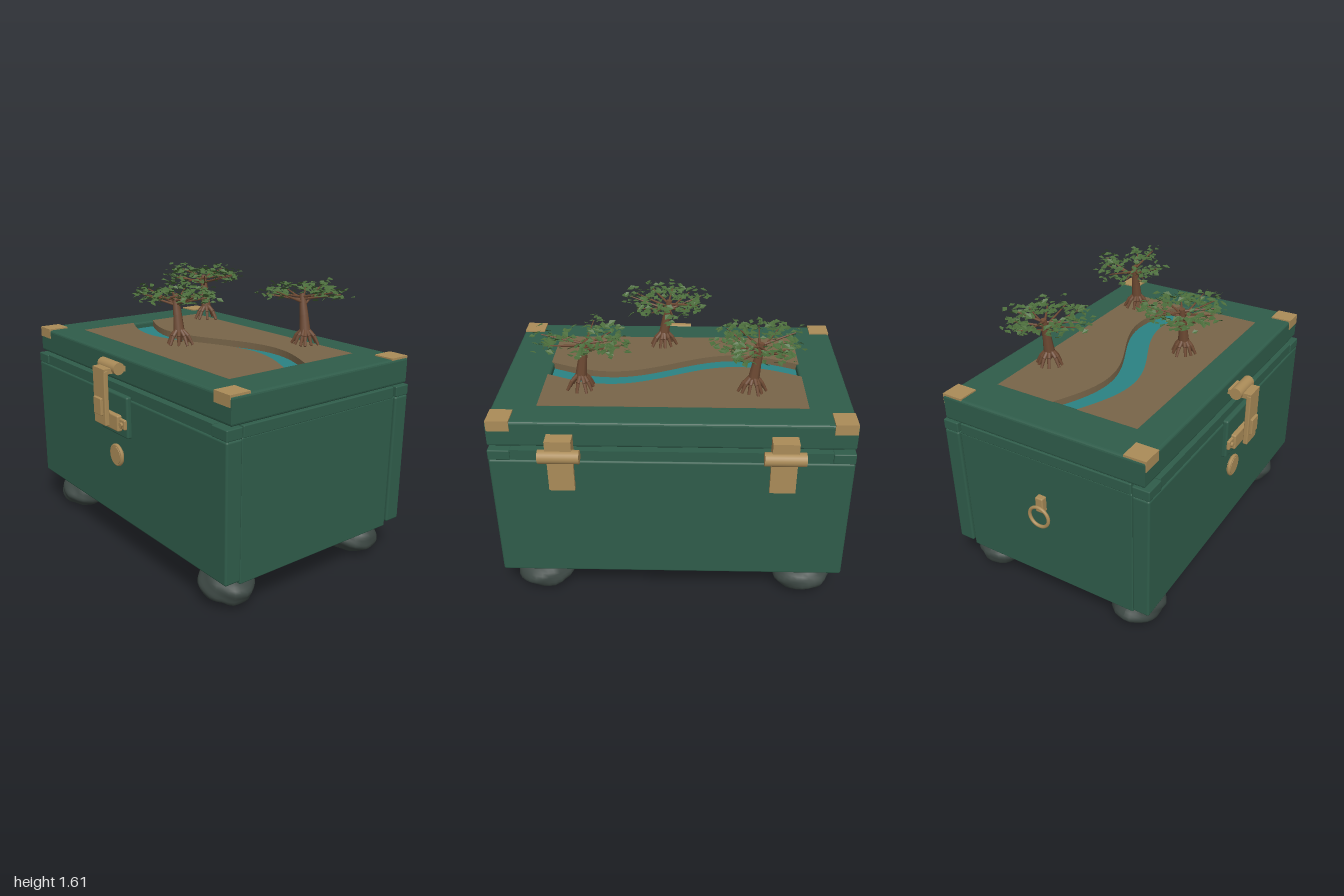
import * as THREE from 'three';
import { mergeGeometries } from 'three/addons/utils/BufferGeometryUtils.js';
import { RoundedBoxGeometry } from 'three/addons/geometries/RoundedBoxGeometry.js';

const mat = (name, color, side = THREE.FrontSide) => {
  const m = new THREE.MeshStandardMaterial({ color, side });
  m.name = name;
  return m;
};
const GREEN = mat('green paint', 0x2f5c4a);
const GOLD = mat('brass', 0xaa8b58);
const EARTH = mat('earth', 0x786549);
const WATER = mat('water', 0x2b8283, THREE.DoubleSide);
const BARK = mat('bark', 0x6e4a33);
const LEAF = mat('leaf', 0x4a6b3a, THREE.DoubleSide);
const STONE = mat('stone', 0x3c4743);

// small seeded generator, 0..1
let seed = 7;
const rnd = () => (seed = (seed * 16807) % 2147483647) / 2147483647;
const spread = (s) => (rnd() * 2 - 1) * s;

export function createModel() {
  const model = new THREE.Group();
  const add = (name, geo, material, parent = model) => {
    const mesh = new THREE.Mesh(geo, material);
    mesh.name = name;
    parent.add(mesh);
    return mesh;
  };
  // box given by its extents; r rounds the edges
  const box = (name, material, x0, x1, y0, y1, z0, z1, r = 0) => {
    const s = [x1 - x0, y1 - y0, z1 - z0];
    const g = r ? new RoundedBoxGeometry(...s, 2, r) : new THREE.BoxGeometry(...s);
    return add(name, g.translate((x0 + x1) / 2, (y0 + y1) / 2, (z0 + z1) / 2), material);
  };
  const barrel = (name, x0, x1, y, z, r) =>
    add(name, new THREE.CylinderGeometry(r, r, x1 - x0, 24).rotateZ(Math.PI / 2).translate((x0 + x1) / 2, y, z), GOLD);

  // chest body
  box('base', GREEN, -0.88, 0.915, 0.19, 0.25, -0.575, 0.53);
  box('frontWall', GREEN, -0.96, 1, 0.225, 0.99, 0.53, 0.63, 0.012);
  box('backWall', GREEN, -0.96, 1, 0.225, 0.99, -0.68, -0.58, 0.012);
  for (const [x0, x1] of [[-0.95, -0.85], [0.89, 0.99]]) {
    box('sideWall', GREEN, x0, x1, 0.2, 0.99, -0.575, 0.528, 0.008);
    box('sideRim', GREEN, x0, x1, 0.985, 1.05, -0.568, 0.518, 0.006);
  }
  for (const [z0, z1, inset] of [[0.53, 0.63, 1], [-0.68, -0.58, -1]]) {
    const a = inset > 0 ? z0 : z0 + 0.008, b = inset > 0 ? z1 - 0.008 : z1;
    box('rim', GREEN, -0.84, 0.88, 0.985, 1.05, a, b);
    box('rimCorner', GREEN, -0.96, -0.84, 0.99, 1.05, z0, z1, 0.006);
    box('rimCorner', GREEN, 0.88, 1, 0.99, 1.05, z0, z1, 0.006);
  }

  // lid frame with an opening for the landscape panel
  const bev = 0.015;
  const rect = (path, x0, x1, z0, z1) =>
    path.moveTo(x0, -z1).lineTo(x1, -z1).lineTo(x1, -z0).lineTo(x0, -z0).closePath();
  const frame = new THREE.Shape();
  rect(frame, -0.96 + bev, 1 - bev, -0.652 + bev, 0.605 - bev);
  const hole = new THREE.Path();
  rect(hole, -0.72, 0.755, -0.475, 0.42);
  frame.holes.push(hole);
  add('lid', new THREE.ExtrudeGeometry(frame, {
    depth: 0.15 - 2 * bev, bevelSize: bev, bevelThickness: bev, bevelSegments: 3,
  }).rotateX(-Math.PI / 2).translate(0, 1.06 + bev, 0), GREEN);
  box('lidFloor', GREEN, -0.74, 0.775, 1.065, 1.15, -0.49, 0.44);

  // two earth banks with a sunken river winding between them
  const riverZ = (x) => -0.027 - 0.114 * Math.sin((2 * Math.PI * (x - 0.017)) / 1.475);
  const curve = (off) => Array.from({ length: 41 }, (_, i) => {
    const x = -0.72 + (1.475 * i) / 40;
    return new THREE.Vector2(x, -(riverZ(x) + off));
  });
  const corners = (z) => [new THREE.Vector2(0.755, -z), new THREE.Vector2(-0.72, -z)];
  for (const [off, z] of [[-0.077, -0.475], [0.077, 0.42]]) {
    const bank = new THREE.Shape([...curve(off), ...corners(z)]);
    add('earthBank', new THREE.ExtrudeGeometry(bank, { depth: 0.062, bevelEnabled: false })
      .rotateX(-Math.PI / 2).translate(0, 1.149, 0), EARTH);
  }
  const river = new THREE.Shape([...curve(-0.079), ...curve(0.079).reverse()]);
  add('river', new THREE.ShapeGeometry(river).rotateX(-Math.PI / 2).translate(0, 1.172, 0), WATER);

  // brass corner guards: top plate and hanging flap
  for (const [x0, x1] of [[-0.957, -0.835], [0.872, 0.995]]) {
    box('cornerTop', GOLD, x0, x1, 1.205, 1.218, 0.482, 0.61);
    box('cornerFlap', GOLD, x0, x1, 1.157, 1.218, 0.6, 0.61);
    box('cornerTop', GOLD, x0, x1, 1.205, 1.218, -0.657, -0.53);
    box('cornerFlap', GOLD, x0, x1, 1.157, 1.218, -0.657, -0.647);
  }

  // back hinges
  for (const x of [-0.58, 0.61]) {
    barrel('hingeBarrel', x - 0.11, x + 0.11, 1.045, -0.722, 0.038);
    box('hingeTop', GOLD, x - 0.07, x + 0.07, 1.02, 1.14, -0.73, -0.645);
    box('hingePlate', GOLD, x - 0.07, x + 0.07, 0.815, 1.04, -0.705, -0.675);
  }

  // front latch
  const cx = 0.013;
  box('latchBackplate', GREEN, cx - 0.145, cx + 0.145, 0.765, 1.01, 0.62, 0.657, 0.012);
  barrel('latchPivot', cx - 0.088, cx + 0.088, 1.163, 0.663, 0.035);
  box('latchArm', GOLD, cx - 0.06, cx + 0.06, 1.135, 1.165, 0.6, 0.745);
  box('latchHasp', GOLD, cx - 0.062, cx + 0.062, 0.84, 1.155, 0.717, 0.745, 0.006);
  box('latchTab', GOLD, cx - 0.04, cx + 0.04, 0.9, 0.998, 0.74, 0.76, 0.005);
  box('latchCatch', GOLD, cx - 0.088, cx + 0.088, 0.8, 0.895, 0.65, 0.685, 0.01);
  box('latchEars', GOLD, cx - 0.14, cx + 0.14, 0.82, 0.88, 0.65, 0.672, 0.008);
  for (const s of [-1, 1]) {
    add('latchScrew', new THREE.CylinderGeometry(0.014, 0.014, 0.015, 12)
      .rotateX(Math.PI / 2).translate(cx + s * 0.112, 0.85, 0.677), GOLD);
  }

  // round brass button with a raised ring
  add('button', new THREE.CylinderGeometry(0.052, 0.058, 0.03, 32)
    .rotateX(Math.PI / 2).translate(cx, 0.63, 0.64), GOLD);
  add('buttonRing', new THREE.TorusGeometry(0.057, 0.011, 8, 36).translate(cx, 0.63, 0.643), GOLD);

  // pull ring on the side
  box('ringMount', GOLD, -0.985, -0.94, 0.675, 0.77, -0.06, -0.01, 0.008);
  add('pullRing', new THREE.TorusGeometry(0.062, 0.01, 10, 32)
    .rotateY(Math.PI / 2).translate(-0.99, 0.65, -0.035), GOLD);

  // lumpy stone feet
  for (const [x, z, k] of [[-0.755, 0.455, 0], [0.79, 0.455, 2], [-0.755, -0.505, 4], [0.79, -0.505, 6]]) {
    const g = new THREE.SphereGeometry(1, 28, 18);
    const p = g.attributes.position, v = new THREE.Vector3();
    for (let i = 0; i < p.count; i++) {
      v.fromBufferAttribute(p, i);
      const n = 1 + 0.04 * Math.sin(4 * v.x + k) * Math.cos(5 * v.z + k)
        + 0.03 * Math.sin(7 * v.y + 5 * v.x + k) + 0.02 * Math.sin(9 * v.z - 6 * v.x + k);
      p.setXYZ(i, v.x * n * 0.172, v.y * n * 0.095, v.z * n * 0.147);
    }
    g.computeVertexNormals();
    add('stoneFoot', g.translate(x, 0.1, z), STONE);
  }

  // mangrove trees: stilt roots, leaning trunk, fanned branches, loose leaves
  const V = (x, y, z) => new THREE.Vector3(x, y, z);
  const limb = (a, b, r0, r1) => {
    const d = b.clone().sub(a);
    const g = new THREE.CylinderGeometry(r1, r0, d.length(), 7);
    g.applyQuaternion(new THREE.Quaternion().setFromUnitVectors(V(0, 1, 0), d.clone().normalize()));
    return g.translate(...a.clone().add(b).multiplyScalar(0.5).toArray());
  };
  const leafAt = (c) => {
    const l = 0.018 + rnd() * 0.009, w = l * 0.72;
    const g = new THREE.BufferGeometry();
    g.setAttribute('position', new THREE.Float32BufferAttribute(
      [-l, 0, 0, 0, 0.004, w, l, 0, 0, 0, 0.004, -w], 3));
    g.setIndex([0, 1, 2, 0, 2, 3]);
    g.rotateX(spread(0.55)).rotateZ(spread(0.45)).rotateY(rnd() * 6.28);
    const flat = g.toNonIndexed();
    flat.computeVertexNormals();
    return flat.translate(c.x, c.y, c.z);
  };
  const tree = (x, z, gap) => {
    const group = new THREE.Group();
    group.name = 'tree';
    group.position.set(x, 1.245, z);
    model.add(group);
    const wood = [], leaves = [];
    for (let i = 0; i < 10; i++) {
      const a = (i / 10) * 6.283 + spread(0.2), r = 0.06 + rnd() * 0.025;
      const knee = V(Math.cos(a) * r * 0.65, 0.05, Math.sin(a) * r * 0.65);
      wood.push(limb(V(-0.002, 0.1, 0), knee, 0.013, 0.011));
      wood.push(limb(knee, V(Math.cos(a) * r, 0, Math.sin(a) * r), 0.011, 0.008));
    }
    wood.push(limb(V(0, 0.06, 0), V(-0.015, 0.17, 0), 0.034, 0.025));
    wood.push(limb(V(-0.015, 0.165, 0), V(-0.035, 0.285, 0), 0.026, 0.017));
    for (let i = 0; i < 22; i++) {
      const a = (i / 22) * 6.283 - 3.14 + spread(0.12);
      if (gap(a)) continue;
      const r = i % 2 ? 0.19 + rnd() * 0.03 : 0.12 + rnd() * 0.05;
      const tip = V(-0.02 + Math.cos(a) * r, 0.29 + spread(0.03), Math.sin(a) * r);
      const start = V(-0.025, 0.21 + rnd() * 0.06, 0);
      if (i % 2) wood.push(limb(start, tip, 0.008, 0.003));
      for (let j = 0; j < 11; j++) {
        leaves.push(leafAt(tip.clone().add(V(spread(0.05), spread(0.035), spread(0.05)))));
      }
    }
    for (let j = 0; j < 14; j++) leaves.push(leafAt(V(-0.02 + spread(0.1), 0.325 + spread(0.02), spread(0.1))));
    add('trunkAndRoots', mergeGeometries(wood), BARK, group);
    add('foliage', mergeGeometries(leaves), LEAF, group);
  };
  tree(-0.42, -0.335, () => false);
  tree(0.525, -0.325, (a) => Math.abs(a + 0.95) < 0.3 || (a > 0.6 && a < 1.5));
  tree(0.09, 0.25, () => false);

  return model;
}
